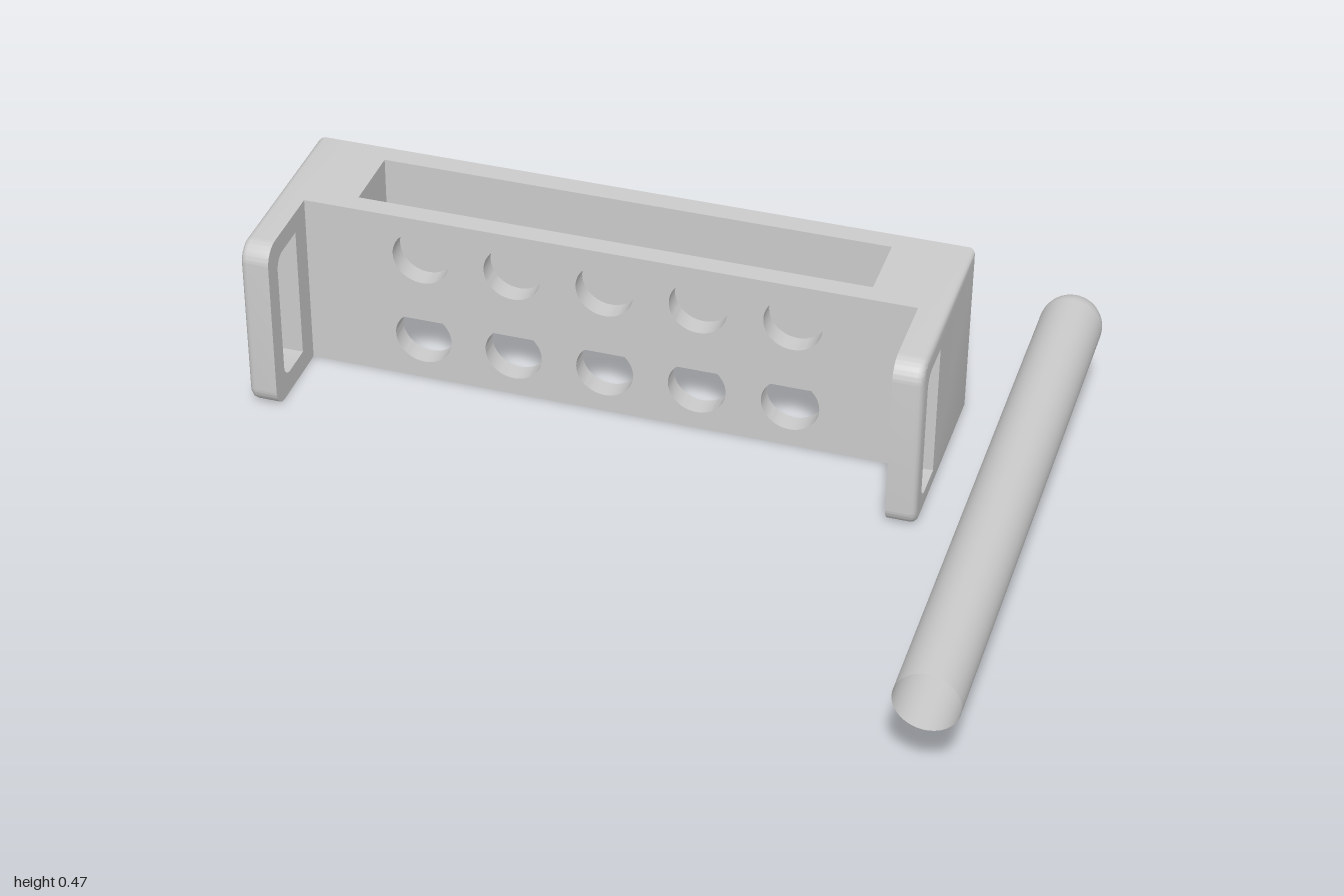
import * as THREE from 'three';
import { toCreasedNormals } from 'three/addons/utils/BufferGeometryUtils.js';

const H = 0.465;                       // rack height
const LEFT = -1, RIGHT = 0.685;        // rack ends in x
const BACK = -0.678, FRONT = -0.15;    // end plates in z
const WALL = -0.39;                    // front face of the body
const T = 0.073;                       // end plate thickness
const R = 0.05, BEVEL = 0.016;

const grey = new THREE.MeshStandardMaterial({ color: 0xcccccc });
const thin = new THREE.MeshStandardMaterial({ color: 0xcccccc, side: THREE.DoubleSide });

function add(parent, name, geometry, material = grey) {
  const mesh = new THREE.Mesh(geometry, material);
  mesh.name = name;
  parent.add(mesh);
  return mesh;
}

// Rectangle with only its +x corners rounded
function frontRounded(path, x0, x1, y0, y1, r) {
  path.moveTo(x0, y0);
  path.lineTo(x1 - r, y0);
  path.absarc(x1 - r, y0 + r, r, -Math.PI / 2, 0);
  path.lineTo(x1, y1 - r);
  path.absarc(x1 - r, y1 - r, r, 0, Math.PI / 2);
  path.lineTo(x0, y1);
  path.closePath();
  return path;
}

// End plate with a grip window; the rim of its outer face is rounded over
function endPlateGeometry() {
  const shape = frontRounded(new THREE.Shape(), BACK, FRONT, 0, H, R);
  shape.holes.push(frontRounded(new THREE.Path(), -0.325, -0.205, 0.057, 0.411, 0.035));
  const steps = 4;
  const geo = new THREE.ExtrudeGeometry(shape, { depth: T, steps, bevelEnabled: false, curveSegments: 10 });
  const pos = geo.attributes.position;
  for (let i = 0; i < pos.count; i++) {
    const k = Math.round(pos.getZ(i) / T * steps);
    if (k === 0) continue;
    const a = (k - 1) / (steps - 1) * Math.PI / 2;
    const inset = BEVEL * (1 - Math.cos(a)) / R;
    const x = pos.getX(i), y = pos.getY(i);
    // outward direction: zero for the window, which lies inside the core
    const nx = x - THREE.MathUtils.clamp(x, BACK + R, FRONT - R);
    const ny = y - THREE.MathUtils.clamp(y, R, H - R);
    pos.setXYZ(i, x - nx * inset, y - ny * inset, T - BEVEL + BEVEL * Math.sin(a));
  }
  geo.rotateY(-Math.PI / 2);
  return toCreasedNormals(geo, 0.7);
}

function box(x0, x1, z0, z1) {
  return new THREE.BoxGeometry(x1 - x0, H, z1 - z0)
    .translate((x0 + x1) / 2, H / 2, (z0 + z1) / 2);
}

export function createModel() {
  const model = new THREE.Group();
  model.name = 'tubeRackAndTube';
  const rack = new THREE.Group();
  rack.name = 'rack';
  model.add(rack);

  // End plates: the second is the first turned half round
  const plate = endPlateGeometry();
  add(rack, 'rightEndPlate', plate).position.x = LEFT + T;
  const leftPlate = add(rack, 'leftEndPlate', plate);
  leftPlate.rotation.z = Math.PI;
  leftPlate.position.set(RIGHT - T, H, 0);

  // Body around the open slot
  const x0 = LEFT + T, x1 = RIGHT - T;
  const slot = { x0: -0.805, x1: 0.49, z0: -0.623, z1: -0.442 };
  add(rack, 'backWall', box(x0, x1, BACK, slot.z0));
  add(rack, 'rightBlock', box(x0, slot.x0, slot.z0, slot.z1));
  add(rack, 'leftBlock', box(slot.x1, x1, slot.z0, slot.z1));

  // Front wall with two rows of round holes
  const wall = new THREE.Shape();
  wall.moveTo(x0, 0);
  wall.lineTo(x1, 0);
  wall.lineTo(x1, H);
  wall.lineTo(x0, H);
  wall.closePath();
  for (const y of [0.12, 0.355]) {
    for (let i = 0; i < 5; i++) {
      wall.holes.push(new THREE.Path().absarc(-0.628 + i * 0.235, y, 0.073, 0, Math.PI * 2, true));
    }
  }
  const wallGeo = new THREE.ExtrudeGeometry(wall, { depth: WALL - slot.z1, bevelEnabled: false, curveSegments: 24 });
  wallGeo.translate(0, 0, slot.z1);
  add(rack, 'frontWall', toCreasedNormals(wallGeo, 0.7));

  // Thin open tube with a round bottom, lying beside the rack
  const r = 0.076, end = 0.767;
  const profile = [];
  for (let i = 0; i <= 12; i++) {
    const a = i / 12 * Math.PI / 2;
    profile.push(new THREE.Vector2(r * Math.sin(a), -end + r - r * Math.cos(a)));
  }
  profile.push(new THREE.Vector2(r, end));
  const tube = add(model, 'testTube', new THREE.LatheGeometry(profile, 48), thin);
  tube.rotation.x = Math.PI / 2;
  tube.position.set(1 - r, 0.281, 0);

  return model;
}
